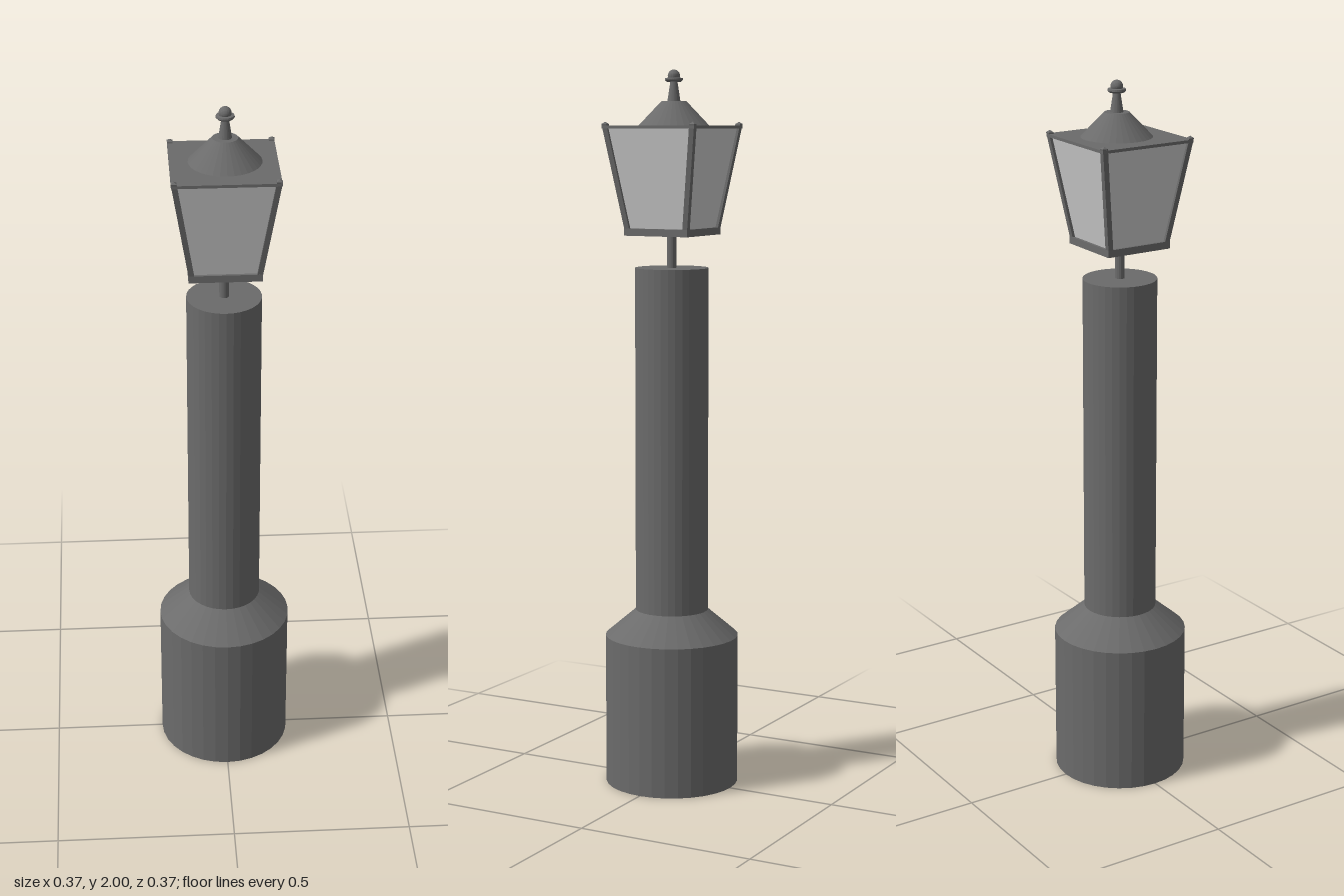
import * as THREE from 'three';

const metal = new THREE.MeshStandardMaterial({ color: 0x6b6b6b, flatShading: true });
const glass = new THREE.MeshStandardMaterial({ color: 0xcccccc, flatShading: true });

function add(parent, name, geometry, x, y, z, material = metal) {
  const mesh = new THREE.Mesh(geometry, material);
  mesh.name = name;
  mesh.position.set(x, y, z);
  parent.add(mesh);
  return mesh;
}

// Solid of revolution from [radius, y] pairs, bottom to top
function turned(points, segments = 32) {
  return new THREE.LatheGeometry(points.map(([r, y]) => new THREE.Vector2(r, y)), segments);
}

// Box whose top is shifted sideways by (dx, dz)
function leaningBar(width, height, dx, dz) {
  const geometry = new THREE.BoxGeometry(width, height, width);
  const p = geometry.attributes.position;
  for (let i = 0; i < p.count; i++) {
    const t = p.getY(i) / height;
    p.setX(i, p.getX(i) + dx * t);
    p.setZ(i, p.getZ(i) + dz * t);
  }
  geometry.computeVertexNormals();
  return geometry;
}

export function createModel() {
  const model = new THREE.Group();
  model.name = 'lampPost';

  // Column: wide base with sloped shoulder, shaft and thin stem
  add(model, 'base', turned([[0, 0], [0.187, 0], [0.187, 0.424], [0.101, 0.497], [0, 0.497]]), 0, 0, 0);
  add(model, 'shaft', new THREE.CylinderGeometry(0.102, 0.102, 0.963, 32), 0, 0.9785, 0);
  add(model, 'stem', new THREE.CylinderGeometry(0.013, 0.013, 0.1, 16), 0, 1.505, 0);

  // Lantern, set very slightly off the column axis
  const lantern = new THREE.Group();
  lantern.name = 'lantern';
  lantern.position.set(-0.001, 0, -0.002);
  model.add(lantern);

  add(lantern, 'lanternFloor', new THREE.BoxGeometry(0.196, 0.02, 0.196), 0, 1.56, 0);

  // Four panes as one tapered square body
  const panes = new THREE.CylinderGeometry(0.134 * Math.SQRT2, 0.09 * Math.SQRT2, 0.276, 4, 1, true);
  panes.rotateY(Math.PI / 4);
  add(lantern, 'glassPanes', panes, 0, 1.708, 0, glass);

  // Leaning corner bars with small pointed tips above the roof
  for (const sx of [-1, 1]) {
    for (const sz of [-1, 1]) {
      add(lantern, 'cornerBar', leaningBar(0.015, 0.286, sx * 0.045, sz * 0.045),
        sx * 0.1125, 1.71, sz * 0.1125);
      const tip = new THREE.ConeGeometry(0.0075 * Math.SQRT2, 0.006, 4);
      tip.rotateY(Math.PI / 4);
      add(lantern, 'cornerTip', tip, sx * 0.135, 1.856, sz * 0.135);
    }
  }

  add(lantern, 'roofPlate', new THREE.BoxGeometry(0.284, 0.008, 0.284), 0, 1.845, 0);

  // Roof cone and finial share one axis
  const crown = new THREE.Group();
  crown.name = 'crown';
  crown.position.set(0.003, 0, -0.008);
  model.add(crown);
  add(crown, 'roofCone', turned([[0, 1.847], [0.099, 1.847], [0.034, 1.915], [0, 1.915]]), 0, 0, 0);
  add(crown, 'finialStem', turned([[0, 1.914], [0.018, 1.914], [0.009, 1.972], [0, 1.972]], 24), 0, 0, 0);
  add(crown, 'finialCollar', turned([[0, 1.967], [0.02, 1.967], [0.025, 1.972], [0.024, 1.977], [0, 1.98]], 24), 0, 0, 0);
  add(crown, 'finialBall', new THREE.SphereGeometry(0.017, 20, 14), 0, 1.983, 0);

  return model;
}
